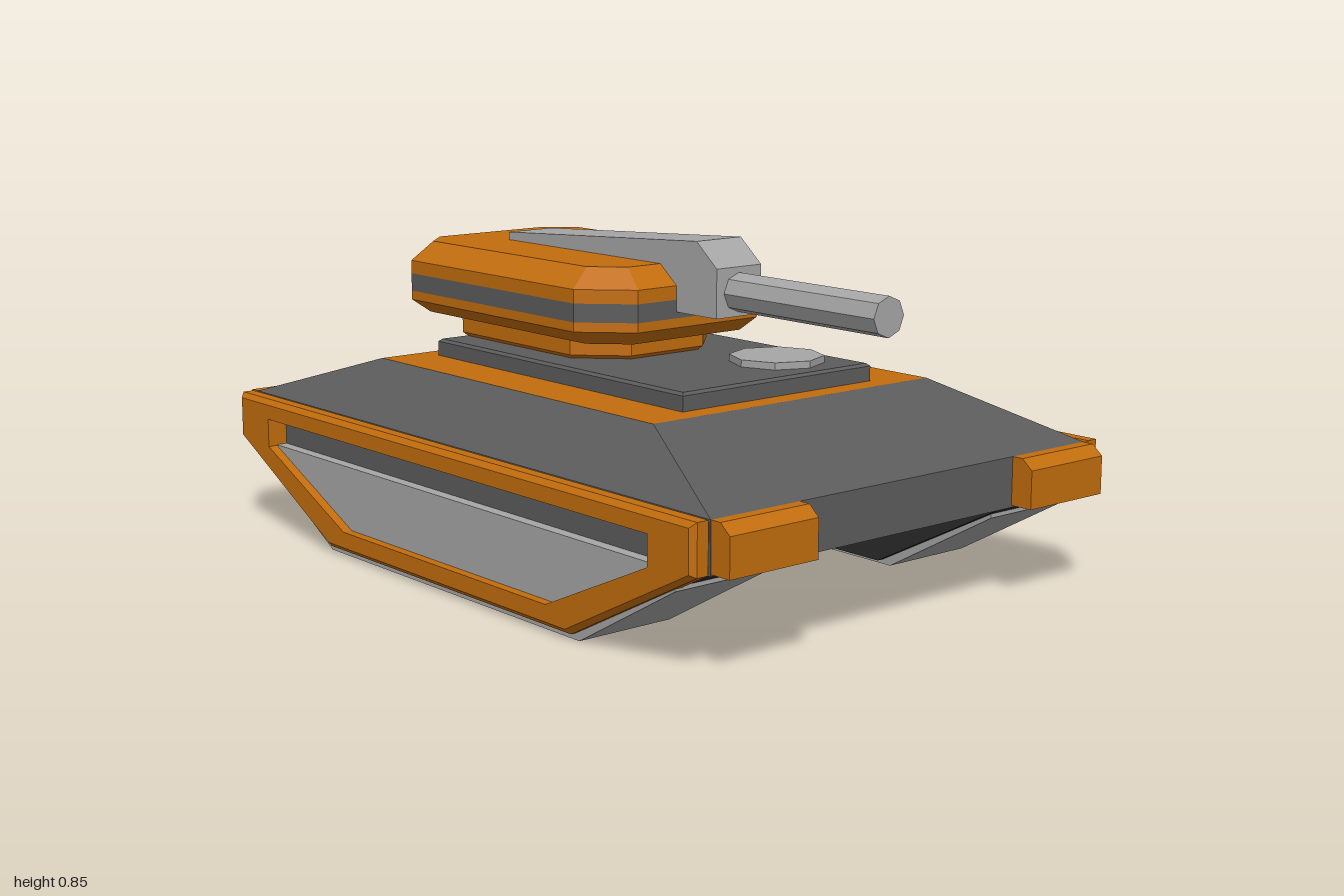
import * as THREE from 'three';

const mat = (name, color) => {
  const m = new THREE.MeshStandardMaterial({ color });
  m.name = name;
  m.flatShading = true;
  return m;
};

// Polygons joining matching rings (each counterclockwise about the direction of travel)
function loft(rings, { start = false, end = false } = {}) {
  const polys = [];
  for (let r = 0; r < rings.length - 1; r++) {
    const a = rings[r], b = rings[r + 1], n = a.length;
    for (let i = 0; i < n; i++) {
      const j = (i + 1) % n;
      polys.push([a[i], a[j], b[j], b[i]]);
    }
  }
  if (start) polys.push([...rings[0]].reverse());
  if (end) polys.push(rings[rings.length - 1]);
  return polys;
}

const mirrorX = (polys) => polys.map((p) => p.map(([x, y, z]) => [-x, y, z]).reverse());

// Fan-triangulated mesh from convex polygons
function solid(name, polys, material) {
  const pos = [];
  for (const p of polys) {
    for (let i = 1; i < p.length - 1; i++) pos.push(...p[0], ...p[i], ...p[i + 1]);
  }
  const g = new THREE.BufferGeometry();
  g.setAttribute('position', new THREE.Float32BufferAttribute(pos, 3));
  g.computeVertexNormals();
  const mesh = new THREE.Mesh(g, material);
  mesh.name = name;
  return mesh;
}

// Ring helpers: rectangle and cut-corner rectangle at height y, profile [z, y] at x
const rect = (hx, hz, y) => [[hx, y, hz], [hx, y, -hz], [-hx, y, -hz], [-hx, y, hz]];
const octagon = (hx, zFront, zBack, cut, y) => [
  [hx, y, zFront - cut], [hx, y, zBack + cut], [hx - cut, y, zBack], [cut - hx, y, zBack],
  [-hx, y, zBack + cut], [-hx, y, zFront - cut], [cut - hx, y, zFront], [hx - cut, y, zFront],
];
const at = (profile, x) => profile.map(([z, y]) => [x, y, z]);
const prism = (profile, x0, x1) => loft([at(profile, x0), at(profile, x1)], { start: true, end: true });

export function createModel() {
  const orange = mat('orange paint', 0xc26d0d);
  const dark = mat('dark grey', 0x5c5c5c);
  const light = mat('light grey', 0xa6a6a6);
  const black = mat('underside black', 0x2b2b2b);

  const model = new THREE.Group();
  model.name = 'tank';
  const add = (...parts) => model.add(...parts);
  const pair = (name, polys, material) =>
    add(solid(name + 'Left', polys, material), solid(name + 'Right', mirrorX(polys), material));

  // Hull, with the rear slope replaced by one with a sunken bay
  const hull = loft([rect(0.61, 0.94, 0.235), rect(0.61, 0.94, 0.36), rect(0.45, 0.56, 0.485)]);
  hull.splice(5, 1);
  const rearRing = (x0, z0, y0, x1, z1, y1) => [[x0, y0, z0], [x1, y1, z1], [-x1, y1, z1], [-x0, y0, z0]];
  const bayFloor = rearRing(0.24, -0.62, 0.34, 0.24, -0.83, 0.34);
  hull.push(...loft([
    rearRing(0.45, -0.56, 0.485, 0.61, -0.94, 0.36),
    rearRing(0.295, -0.58, 0.478, 0.295, -0.91, 0.37),
    bayFloor,
  ]));
  add(solid('hull', hull, dark));
  add(solid('rearBayFloor', [bayFloor], orange));
  add(solid('hullTop', [rect(0.45, 0.56, 0.485)], orange));
  add(solid('belly', [rect(0.61, 0.94, 0.235).reverse()], black));

  // Track housings and tracks
  const housing = [[-0.93, 0.237], [0.93, 0.237], [0.5, 0.012], [-0.5, 0.012]];
  pair('trackHousing', prism(housing, 0.35, 0.609), black);
  const track = [[-0.86, 0.237], [0.86, 0.237], [0.86, 0.19], [0.525, 0], [-0.525, 0], [-0.86, 0.19]];
  pair('track', prism(track, 0.37, 0.64), light);

  // Side skirts: chamfered frames with an open window
  const outline = (d) => [
    [-0.945 + d, 0.362 - d], [0.945 - d, 0.362 - d], [0.945 - d, 0.24 + d / 2],
    [0.51 - d / 2, 0.015 + d], [-0.51 + d / 2, 0.015 + d], [-0.945 + d, 0.24 + d / 2],
  ];
  const opening = [[-0.795, 0.31], [0.795, 0.31], [0.795, 0.235], [0.43, 0.07], [-0.43, 0.07], [-0.795, 0.235]];
  const bevel = 0.013;
  pair('sideSkirt', loft([
    at(opening, 0.608), at(outline(bevel), 0.608), at(outline(0), 0.621), at(outline(0), 0.652),
    at(outline(bevel), 0.665), at(opening, 0.665), at(opening, 0.608),
  ]), orange);

  // Fenders at all four corners
  const fender = [[0.93, 0.36], [0.97, 0.36], [1, 0.335], [1, 0.24], [0.93, 0.24]];
  const rearFender = fender.map(([z, y]) => [-z, y]).reverse();
  pair('frontFender', prism(fender, 0.35, 0.609), orange);
  pair('rearFender', prism(rearFender, 0.35, 0.609), orange);

  // Deck plate and hatch
  add(solid('deckPlate', loft(
    [rect(0.31, 0.5, 0.484), rect(0.31, 0.5, 0.523), rect(0.302, 0.492, 0.53)], { end: true }), dark));
  const hatch = new THREE.Mesh(new THREE.CylinderGeometry(0.12, 0.12, 0.02, 8), light);
  hatch.name = 'hatch';
  hatch.position.set(0.145, 0.538, 0.333);
  add(hatch);

  // Turret: neck, lower shell, stripe and upper shell
  add(solid('turretNeck', loft([
    octagon(0.22, 0.07, -0.6, 0.11, 0.53), octagon(0.23, 0.08, -0.61, 0.11, 0.54),
    octagon(0.23, 0.08, -0.61, 0.11, 0.59),
  ], { start: true }), orange));
  const band = (y) => octagon(0.31, 0.2, -0.735, 0.113, y);
  add(solid('turretLower', loft([octagon(0.262, 0.158, -0.69, 0.085, 0.586), band(0.622), band(0.646)],
    { start: true }), orange));
  add(solid('turretStripe', loft([band(0.646), band(0.693)]), dark));
  add(solid('turretUpper', loft([band(0.693), band(0.728), octagon(0.25, 0.137, -0.677, 0.073, 0.777)],
    { end: true }), orange));

  // Gun mount and barrel
  const mount = [[-0.5, 0.798], [0.275, 0.846], [0.35, 0.785], [0.35, 0.662], [0.1, 0.662], [-0.5, 0.74]];
  add(solid('gunMount', prism(mount, -0.073, 0.073), light));
  const barrel = new THREE.Mesh(new THREE.CylinderGeometry(0.049, 0.049, 0.52, 8), light);
  barrel.name = 'barrel';
  barrel.rotation.x = Math.PI / 2;
  barrel.position.set(0, 0.722, 0.6);
  add(barrel);

  return model;
}
